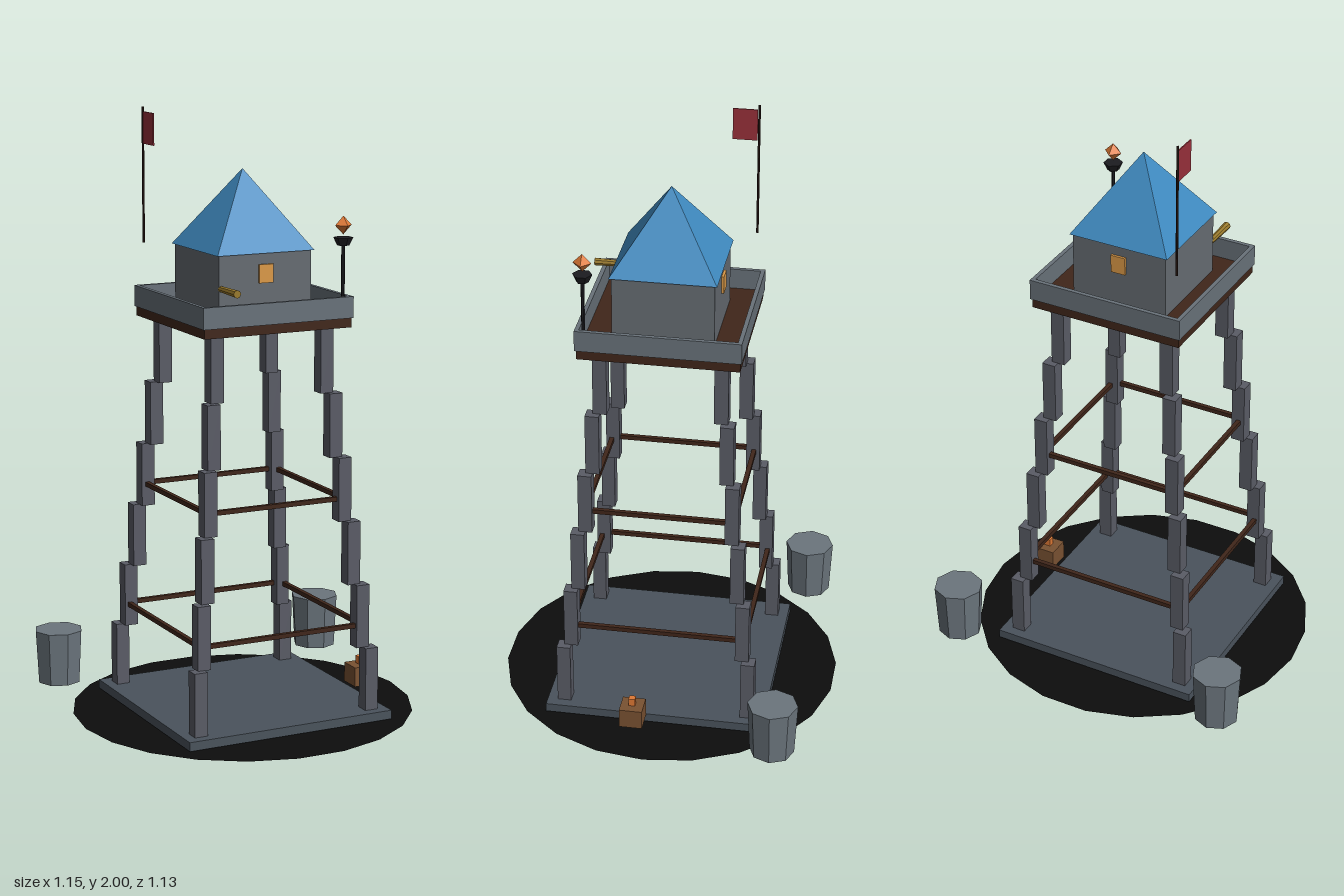
import * as THREE from 'three';

const mat = (color) => new THREE.MeshStandardMaterial({ color, flatShading: true, side: THREE.DoubleSide });
const M = {
  ground: mat(0x0d0d0d), slab: mat(0x4a535c), leg: mat(0x5a5c66), wood: mat(0x40261a),
  wall: mat(0x69727a), house: mat(0x666c72), roof: mat(0x3f8ac0), glow: mat(0xdc9a48),
  gold: mat(0x9a7a2c), iron: mat(0x1c1c20), flame: mat(0xe07a35), flag: mat(0x98303a),
  pole: mat(0x2a1814), crate: mat(0x7a5232), barrel: mat(0x6b757d),
};

export function createModel() {
  const model = new THREE.Group();
  const add = (name, geometry, material, x = 0, y = 0, z = 0, parent = model) => {
    const mesh = new THREE.Mesh(geometry, material);
    mesh.name = name;
    mesh.position.set(x, y, z);
    parent.add(mesh);
    return mesh;
  };
  const box = (name, w, h, d, material, x, y, z, parent) =>
    add(name, new THREE.BoxGeometry(w, h, d), material, x, y, z, parent);
  const group = (name) => {
    const g = new THREE.Group();
    g.name = name;
    model.add(g);
    return g;
  };

  // Ground ring and foundation
  add('groundRing', new THREE.RingGeometry(0.258, 0.572, 22), M.ground).rotation.x = -Math.PI / 2;
  box('foundation', 0.736, 0.03, 0.736, M.slab, 0, 0.02, 0);

  // Four stepped legs leaning inwards
  for (const sx of [-1, 1]) for (const sz of [-1, 1]) {
    const leg = group('leg');
    for (let i = 0; i < 6; i++) {
      const c = 0.311 - i * 0.0228;
      box('legBlock', 0.046, 0.2125, 0.046, M.leg, sx * c, 0.141 + i * 0.2115, sz * c, leg);
    }
  }

  // Two levels of cross braces
  for (const [y, r] of [[0.32, 0.294], [0.743, 0.246]]) {
    const braces = group('braces');
    for (const s of [-1, 1]) {
      box('brace', 2 * r - 0.02, 0.015, 0.015, M.wood, 0, y, s * r, braces);
      box('brace', 0.015, 0.015, 2 * r - 0.02, M.wood, s * r, y, 0, braces);
    }
  }

  // Deck and parapet
  box('deck', 0.524, 0.032, 0.524, M.wood, 0, 1.326, 0);
  const parapet = group('parapet');
  for (const s of [-1, 1]) {
    box('parapetWall', 0.534, 0.07, 0.014, M.wall, 0, 1.376, s * 0.26, parapet);
    box('parapetWall', 0.014, 0.07, 0.506, M.wall, s * 0.26, 1.376, 0, parapet);
  }

  // Lookout house, roof and windows
  box('house', 0.33, 0.22, 0.33, M.house, 0, 1.446, 0);
  const roof = new THREE.ConeGeometry(0.173 * Math.SQRT2, 0.255, 4);
  roof.rotateY(Math.PI / 4);
  add('roof', roof, M.roof, 0, 1.683, 0);
  for (const s of [-1, 1]) box('window', 0.05, 0.06, 0.012, M.glow, 0, 1.49, s * 0.167);

  // Spyglass pointing forwards
  const spyglass = new THREE.CylinderGeometry(0.013, 0.01, 0.12, 8);
  spyglass.rotateX(Math.PI / 2);
  add('spyglass', spyglass, M.gold, -0.157, 1.449, 0.222);

  // Fire bowl on a post
  const beacon = group('beacon');
  add('beaconPost', new THREE.CylinderGeometry(0.006, 0.006, 0.24, 6), M.iron, 0.241, 1.46, 0.241, beacon);
  add('beaconBowl', new THREE.CylinderGeometry(0.032, 0.02, 0.026, 6), M.iron, 0.241, 1.588, 0.241, beacon);
  add('beaconFlame', new THREE.OctahedronGeometry(0.03), M.flame, 0.241, 1.64, 0.241, beacon);

  // Flag on its pole
  add('flagPole', new THREE.CylinderGeometry(0.004, 0.004, 0.445, 6), M.pole, -0.243, 1.7775, -0.241);
  box('flag', 0.004, 0.105, 0.08, M.flag, -0.243, 1.932, -0.196);

  // Crate with a small lantern on top
  box('crate', 0.077, 0.067, 0.077, M.crate, 0.416, 0.07, 0.062);
  box('crateLantern', 0.022, 0.026, 0.022, M.flame, 0.416, 0.119, 0.062);

  // Barrels behind the tower
  for (const s of [-1, 1])
    add('barrel', new THREE.CylinderGeometry(0.0835, 0.074, 0.182, 8), M.barrel, s * 0.494, 0.128, -0.418);

  return model;
}
